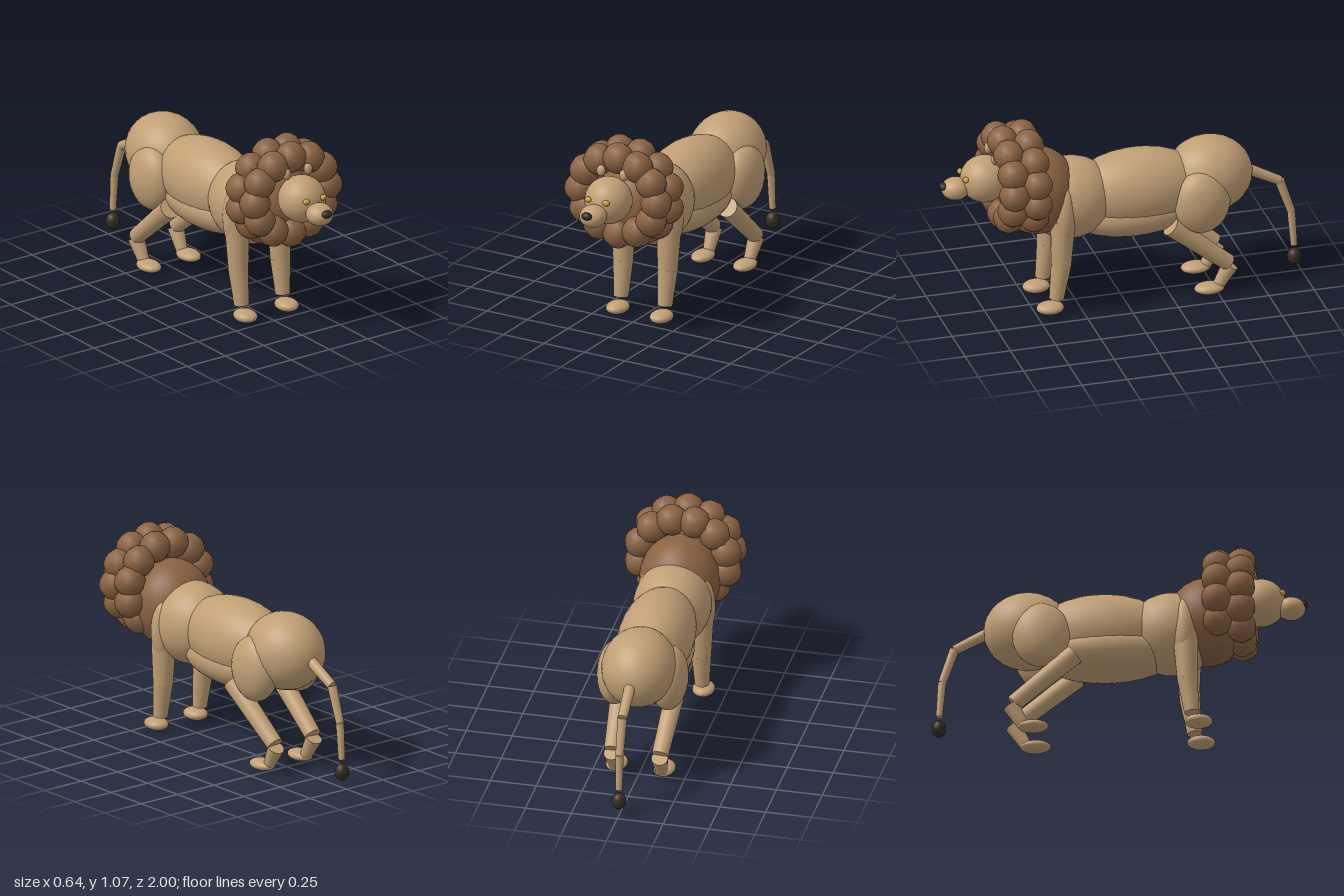
import * as THREE from 'three';

function material(name, color) {
  const m = new THREE.MeshStandardMaterial({ color });
  m.name = name;
  return m;
}

export function createModel() {
  const tan = material('tan fur', 0xc19f75);
  const brown = material('brown mane', 0x8a6242);
  const dark = material('dark brown', 0x352b20);
  const gold = material('gold eyes', 0xcf9f3a);
  const lion = new THREE.Group();
  lion.name = 'lion';

  function ellipsoid(name, mat, center, radii, w = 28, h = 18) {
    const mesh = new THREE.Mesh(new THREE.SphereGeometry(1, w, h), mat);
    mesh.name = name;
    mesh.position.set(...center);
    mesh.scale.set(...radii);
    lion.add(mesh);
    return mesh;
  }

  // Tapered cylinder between two points
  function limb(name, mat, from, to, r0, r1) {
    const a = new THREE.Vector3(...from), b = new THREE.Vector3(...to);
    const dir = b.clone().sub(a);
    const mesh = new THREE.Mesh(new THREE.CylinderGeometry(r1, r0, dir.length(), 20), mat);
    mesh.name = name;
    mesh.position.copy(a).add(b).multiplyScalar(0.5);
    mesh.quaternion.setFromUnitVectors(new THREE.Vector3(0, 1, 0), dir.normalize());
    lion.add(mesh);
  }

  // Trunk
  ellipsoid('torso', tan, [0, 0.62, -0.09], [0.2, 0.22, 0.38]);
  ellipsoid('belly', tan, [0, 0.5, -0.07], [0.187, 0.14, 0.37]);
  ellipsoid('chest', tan, [0, 0.615, 0.28], [0.208, 0.225, 0.25]);
  ellipsoid('rump', tan, [0, 0.65, -0.49], [0.2, 0.21, 0.235]);

  // Head
  ellipsoid('head', tan, [0, 0.787, 0.75], [0.128, 0.128, 0.13]);
  ellipsoid('muzzle', tan, [0, 0.75, 0.91], [0.073, 0.061, 0.076]);
  ellipsoid('nose', dark, [0, 0.771, 0.978], [0.031, 0.021, 0.022]);

  // Mane: collar behind two staggered rings of tufts
  ellipsoid('maneCollar', brown, [0, 0.68, 0.46], [0.218, 0.24, 0.215]);
  const rings = [
    { name: 'frontManeTuft', y: 0.78, z: 0.65, rx: 0.235, ry: 0.212, turn: 0 },
    { name: 'backManeTuft', y: 0.77, z: 0.525, rx: 0.242, ry: 0.222, turn: Math.PI / 12 },
  ];
  for (const ring of rings) {
    for (let i = 0; i < 12; i++) {
      const a = ring.turn + i * Math.PI / 6;
      ellipsoid(ring.name, brown,
        [Math.sin(a) * ring.rx, ring.y + Math.cos(a) * ring.ry, ring.z],
        [0.085, 0.085, 0.083], 10, 8);
    }
  }

  // Mirrored parts
  for (const s of [1, -1]) {
    const side = s > 0 ? 'left' : 'right';
    ellipsoid(side + 'Eye', gold, [s * 0.055, 0.819, 0.868], [0.02, 0.016, 0.016], 16, 10);
    ellipsoid(side + 'Ear', tan, [s * 0.07, 0.928, 0.71], [0.025, 0.032, 0.02], 16, 10);

    // Front leg
    ellipsoid(side + 'Shoulder', tan, [s * 0.15, 0.58, 0.35], [0.066, 0.17, 0.062]);
    limb(side + 'FrontUpperLeg', tan, [s * 0.14, 0.56, 0.355], [s * 0.137, 0.28, 0.365], 0.069, 0.054);
    limb(side + 'FrontLowerLeg', tan, [s * 0.137, 0.29, 0.365], [s * 0.135, 0.092, 0.39], 0.055, 0.04);
    ellipsoid(side + 'FrontPaw', tan, [s * 0.135, 0.041, 0.425], [0.06, 0.034, 0.075]);

    // Hind leg
    ellipsoid(side + 'Thigh', tan, [s * 0.145, 0.56, -0.41], [0.1, 0.18, 0.155]);
    limb(side + 'HindUpperLeg', tan, [s * 0.15, 0.44, -0.235], [s * 0.13, 0.17, -0.56], 0.055, 0.045);
    limb(side + 'HindLowerLeg', tan, [s * 0.13, 0.155, -0.57], [s * 0.125, 0.04, -0.505], 0.045, 0.031);
    ellipsoid(side + 'HindPaw', tan, [s * 0.13, 0.035, -0.455], [0.058, 0.031, 0.082]);
  }

  // Tail
  const tail = [[0, 0.65, -0.69], [0, 0.55, -0.88], [0, 0.36, -0.945], [0, 0.16, -0.96]];
  const radii = [0.031, 0.026, 0.022, 0.018];
  for (let i = 0; i < 3; i++) limb('tailSegment', tan, tail[i], tail[i + 1], radii[i], radii[i + 1]);
  ellipsoid('tailTuft', dark, [0, 0.092, -0.961], [0.039, 0.047, 0.038]);

  return lion;
}
